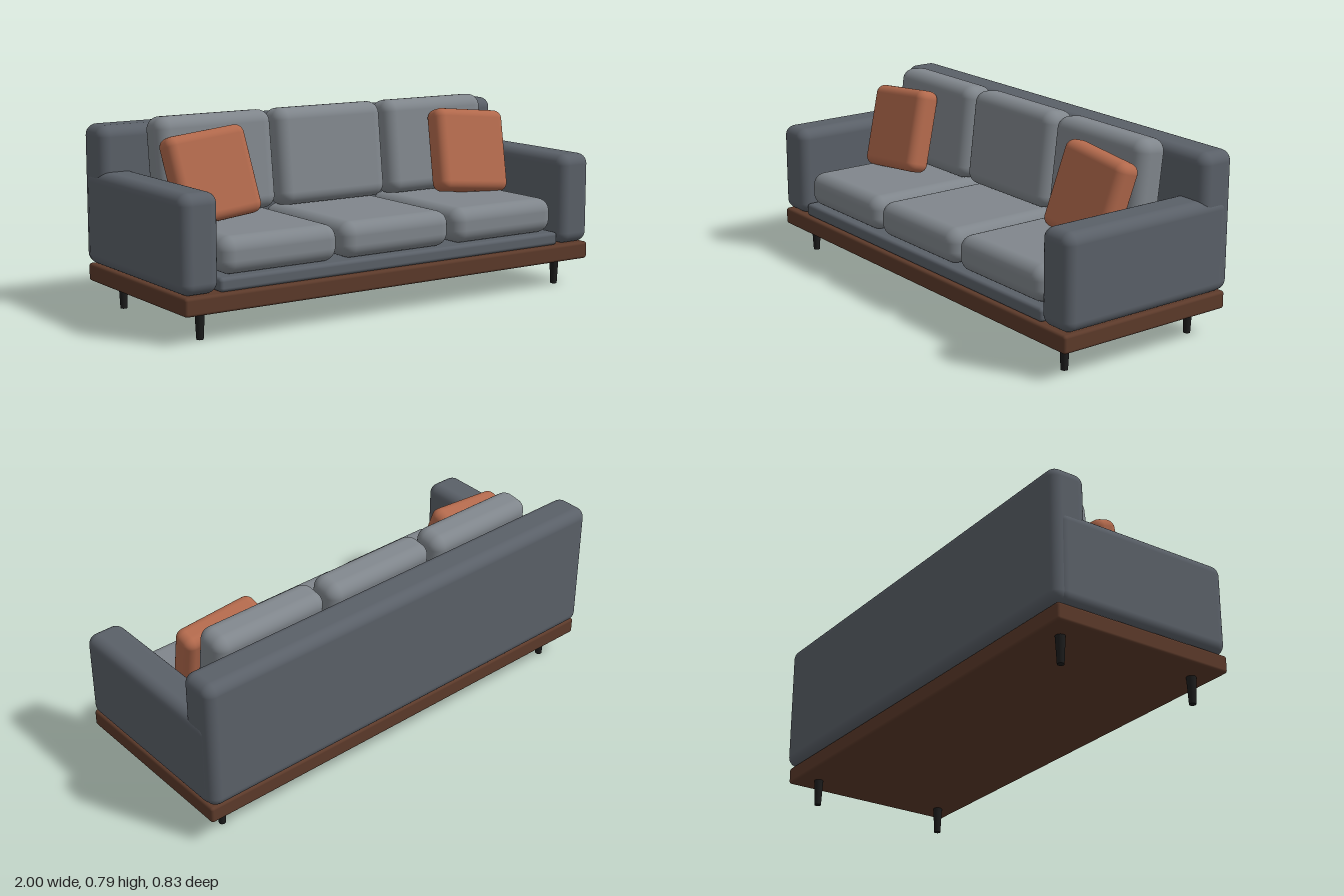
import * as THREE from 'three';
import { RoundedBoxGeometry } from 'three/addons/geometries/RoundedBoxGeometry.js';

const material = (name, color) => {
  const m = new THREE.MeshStandardMaterial({ color });
  m.name = name;
  return m;
};

export function createModel() {
  const sofa = new THREE.Group();
  sofa.name = 'sofa';

  const frameFabric = material('dark grey fabric', 0x5a6068);
  const cushionFabric = material('light grey fabric', 0x80868c);
  const pillowFabric = material('rust fabric', 0xb2694c);
  const wood = material('walnut wood', 0x5c3a2a);
  const legBlack = material('black legs', 0x1c1c1c);

  // Rounded block given by its size and centre
  const block = (name, mat, size, position, radius) => {
    const mesh = new THREE.Mesh(new RoundedBoxGeometry(...size, 5, radius), mat);
    mesh.name = name;
    mesh.position.set(...position);
    sofa.add(mesh);
    return mesh;
  };

  // Wooden plinth, upholstered deck and backrest
  block('plinth', wood, [1.98, 0.073, 0.807], [0, 0.149, 0.01], 0.012);
  block('seatDeck', frameFabric, [1.665, 0.055, 0.63], [0, 0.213, 0.083], 0.015);
  block('backrest', frameFabric, [1.99, 0.568, 0.163], [0, 0.47, -0.331], 0.045);

  // Three seat cushions with leaning back cushions
  for (const x of [-0.55, 0, 0.55]) {
    block('seatCushion', cushionFabric, [0.53, 0.147, 0.625], [x, 0.314, 0.078], 0.055);
    const back = block('backCushion', cushionFabric, [0.53, 0.405, 0.146], [x, 0.588, -0.149], 0.052);
    back.rotation.x = -0.12;
  }

  for (const side of [-1, 1]) {
    // Armrest
    block('armrest', frameFabric, [0.163, 0.384, 0.805], [side * 0.918, 0.378, 0.01], 0.045);

    // Throw pillow, leaning back and tipped outward
    const pillow = block('throwPillow', pillowFabric, [0.36, 0.36, 0.108], [side * 0.645, 0.563, 0.009], 0.038);
    pillow.rotation.set(-0.28, 0, -side * 0.1);

    // Tapered legs
    for (const z of [0.323, -0.302]) {
      const leg = new THREE.Mesh(new THREE.CylinderGeometry(0.02, 0.014, 0.116, 20), legBlack);
      leg.name = 'leg';
      leg.position.set(side * 0.881, 0.058, z);
      sofa.add(leg);
    }
  }

  return sofa;
}
